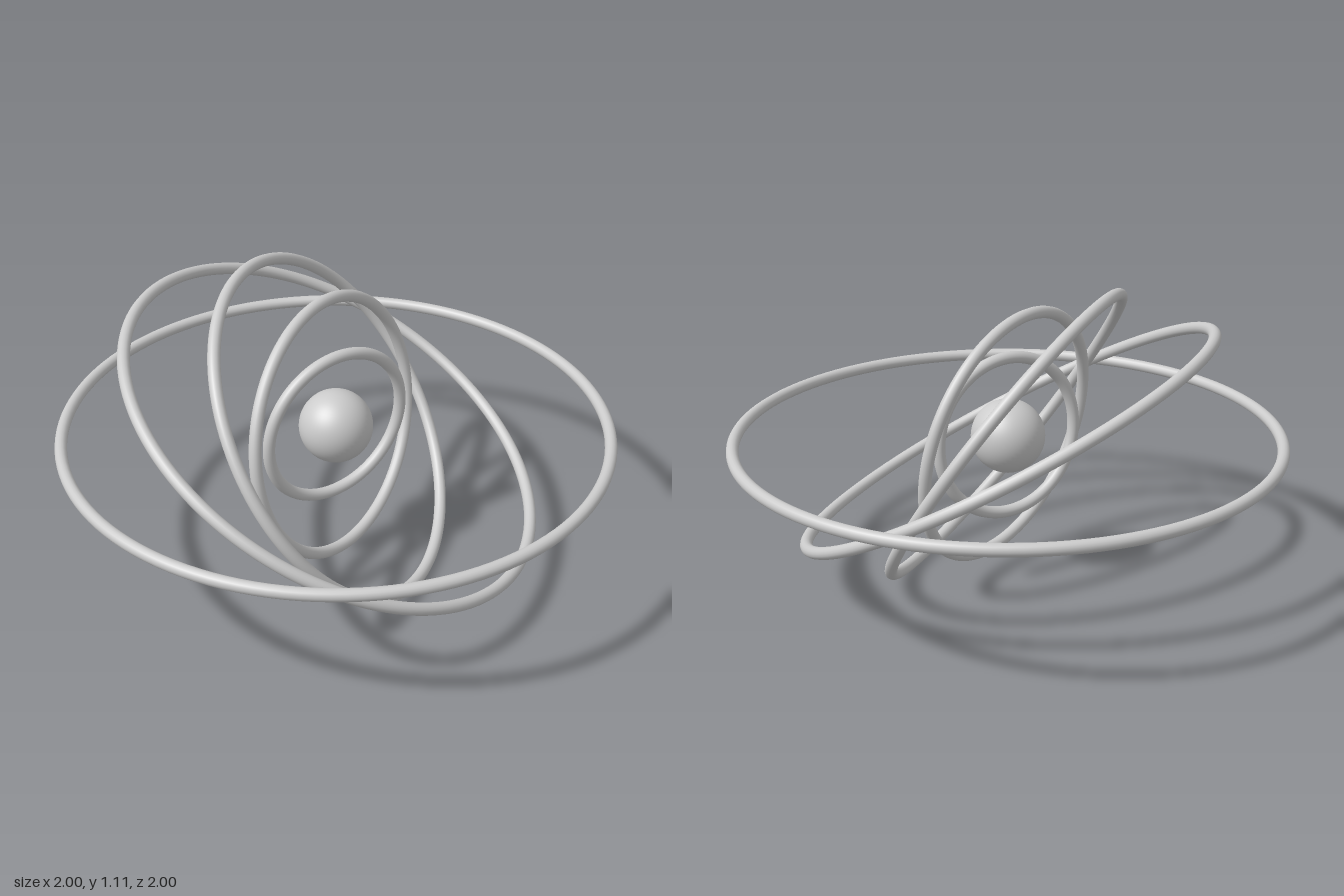
import * as THREE from 'three';

const CENTRE_Y = 0.558;
const TUBE = 0.022;

// Nested rings, outermost first: centreline radius and the direction of each ring's axis
const RINGS = [
  { name: 'outerRing', radius: 0.977, axis: [0, 1, 0] },
  { name: 'secondRing', radius: 0.818, axis: [0.368, 0.875, 0.314] },
  { name: 'middleRing', radius: 0.643, axis: [0.588, 0.555, 0.588] },
  { name: 'fourthRing', radius: 0.467, axis: [0.511, 0.167, 0.843] },
  { name: 'innerRing', radius: 0.288, axis: [0.19, -0.045, 0.98] },
];

export function createModel() {
  const model = new THREE.Group();
  model.name = 'armillarySphere';
  const material = new THREE.MeshStandardMaterial({ color: 0xcccccc });

  // Central ball
  const ball = new THREE.Mesh(new THREE.SphereGeometry(0.134, 48, 32), material);
  ball.name = 'centralBall';
  ball.position.y = CENTRE_Y;
  model.add(ball);

  // Rings, each turned so that its hole faces along the axis
  const forward = new THREE.Vector3(0, 0, 1);
  for (const { name, radius, axis } of RINGS) {
    const ring = new THREE.Mesh(new THREE.TorusGeometry(radius, TUBE, 16, 128), material);
    ring.name = name;
    ring.position.y = CENTRE_Y;
    ring.quaternion.setFromUnitVectors(forward, new THREE.Vector3(...axis).normalize());
    model.add(ring);
  }

  return model;
}
